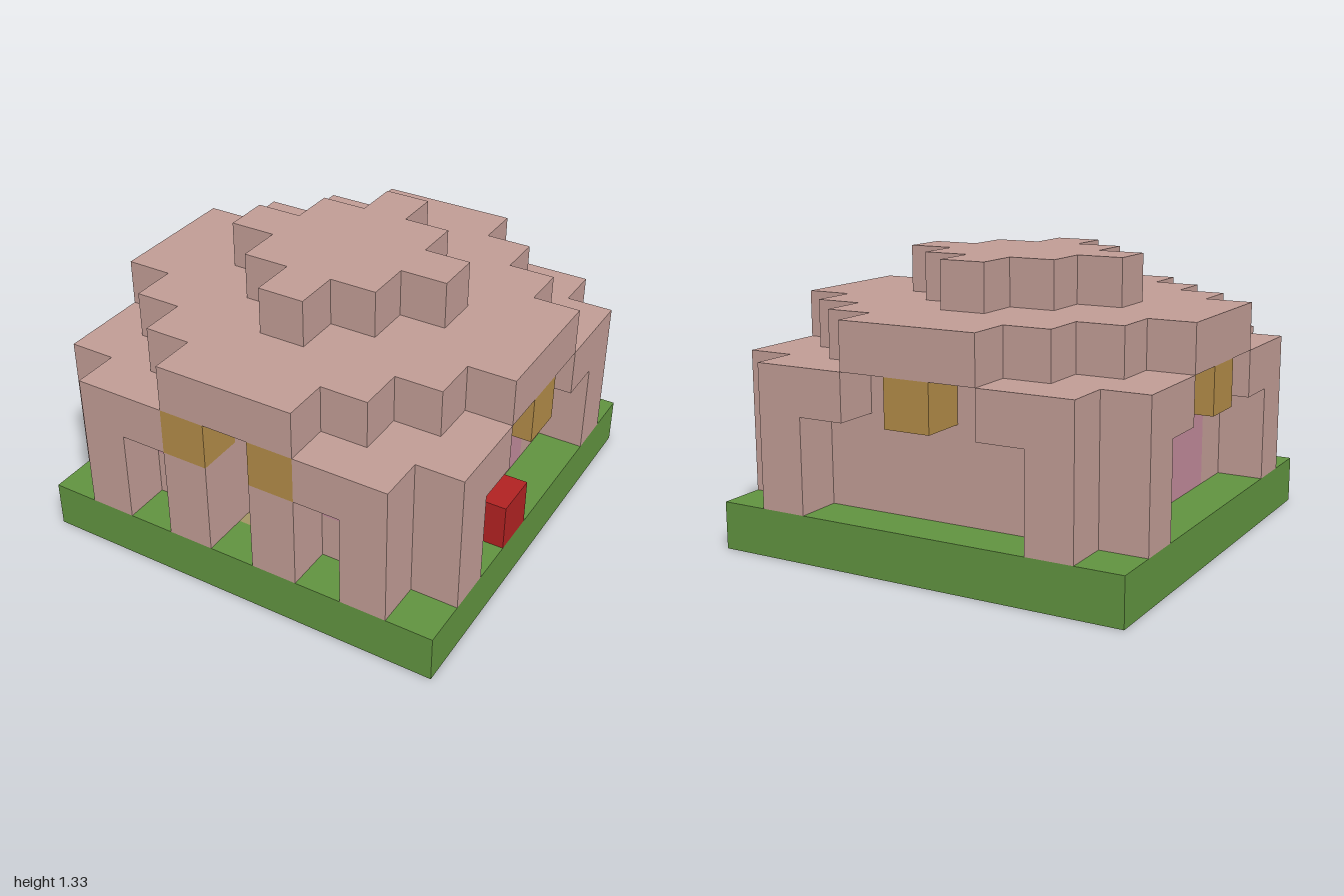
import * as THREE from 'three';

const U = 2 / 9; // one block of the 9 x 9 grid

export function createModel() {
  const model = new THREE.Group();
  model.name = 'blockHouse';

  const material = (name, color) => {
    const m = new THREE.MeshStandardMaterial({ color });
    m.name = name;
    return m;
  };
  const clay = material('clay', 0xc09b94);
  const grass = material('grass', 0x60923f);
  const glass = material('pinkGlass', 0xbf8999);
  const lampGold = material('lampGold', 0xb18a47);
  const red = material('red', 0xb02222);
  const planks = material('planks', 0xa29464);
  const dirt = material('dirt', 0x77574a);

  // Box filling whole blocks: x and z run from -4 to 4, layers count up from 0
  const block = (name, mat, [x0, x1], [y0, y1], [z0, z1]) => {
    const geo = new THREE.BoxGeometry((x1 - x0 + 1) * U, (y1 - y0 + 1) * U, (z1 - z0 + 1) * U);
    const mesh = new THREE.Mesh(geo, mat);
    mesh.position.set((x0 + x1) / 2 * U, (y0 + y1 + 1) / 2 * U, (z0 + z1) / 2 * U);
    mesh.name = name;
    model.add(mesh);
  };

  // Ground: grass rim, plank floor, dirt below the solid walls
  for (const s of [-1, 1]) {
    block('grassRim', grass, [-4, 4], [0, 0], [4 * s, 4 * s]);
    block('grassRim', grass, [4 * s, 4 * s], [0, 0], [-3, 3]);
    block('sillPlanks', planks, [3 * s, 3 * s], [0, 0], [-1, 1]);
    for (const z of [-2, 2]) block('wallDirt', dirt, [3 * s, 3 * s], [0, 0], [z, z]);
    block('frontDirt', dirt, s > 0 ? [1, 3] : [-3, -1], [0, 0], [3, 3]);
  }
  block('floorPlanks', planks, [-2, 2], [0, 0], [-2, 2]);
  block('doorstepPlanks', planks, [0, 0], [0, 0], [3, 3]);
  block('backDirt', dirt, [-3, 3], [0, 0], [-3, -3]);

  // Corners: wall posts, outer pillars and the lintels beside them
  for (const sx of [-1, 1]) {
    for (const sz of [-1, 1]) {
      const at = (name, x, z, layers) => block(name, clay, [x * sx, x * sx], layers, [z * sz, z * sz]);
      at('cornerPost', 3, 3, [1, 3]);
      at('sideWall', 3, 2, [1, 3]);
      at('pillar', 3, 4, [1, 3]);
      at('pillar', 4, 3, [1, 3]);
      at('lintel', 2, 4, [3, 3]);
      at('lintel', 4, 2, [3, 3]);
    }
  }

  // Side windows and lamps, front wall halves with windows, door pillars
  for (const s of [-1, 1]) {
    block('sideWindow', glass, [3 * s, 3 * s], [1, 2], [-1, 1]);
    block('sideWallTop', clay, [3 * s, 3 * s], [3, 3], [-1, 1]);
    block('sideLamp', lampGold, [4 * s, 4 * s], [3, 3], [0, 0]);

    block('frontWall', clay, [s, s], [1, 3], [3, 3]);
    block('frontWallBottom', clay, [2 * s, 2 * s], [1, 1], [3, 3]);
    block('frontWindow', glass, [2 * s, 2 * s], [2, 2], [3, 3]);
    block('frontWallTop', clay, [2 * s, 2 * s], [3, 3], [3, 3]);

    block('doorPillar', clay, [s, s], [1, 2], [4, 4]);
    block('doorLamp', lampGold, [s, s], [3, 3], [4, 4]);
  }

  // Back wall and its lamp
  block('backWall', clay, [-2, 2], [1, 3], [-3, -3]);
  block('backLamp', lampGold, [0, 0], [3, 3], [-4, -4]);

  // Red box beside the house
  block('redBox', red, [4, 4], [1, 1], [1, 1]);

  // Stepped roof, row by row: wide tier, then a small diamond on top
  for (let z = -4; z <= 4; z++) {
    const wide = Math.min(4, 5 - Math.abs(z));
    block('lowerRoof', clay, [-wide, wide], [4, 4], [z, z]);
    const top = 2 - Math.abs(z);
    if (top >= 0) block('upperRoof', clay, [-top, top], [5, 5], [z, z]);
  }

  return model;
}
